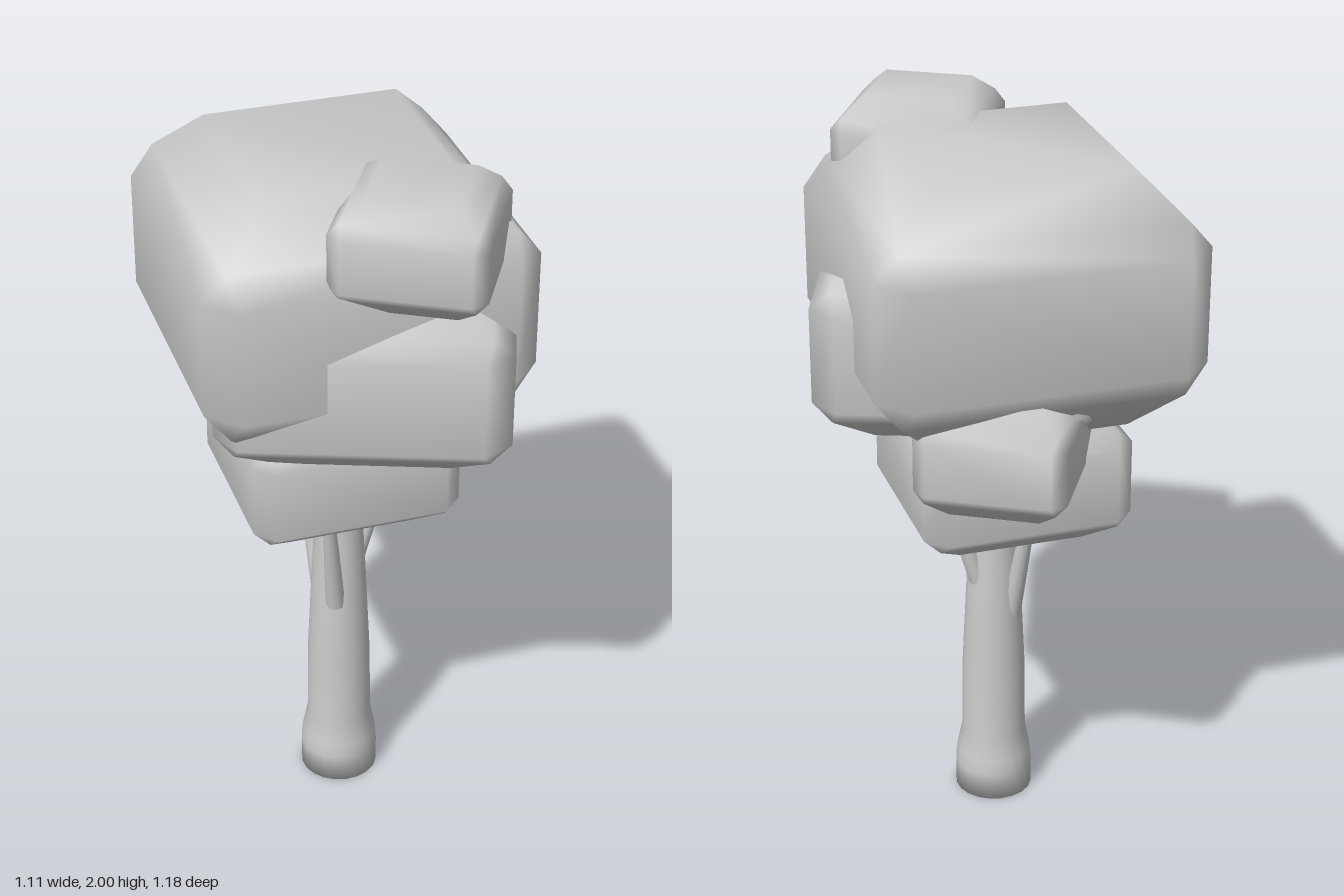
import * as THREE from 'three';
import { ConvexGeometry } from 'three/addons/geometries/ConvexGeometry.js';
import { mergeVertices } from 'three/addons/utils/BufferGeometryUtils.js';

const material = new THREE.MeshStandardMaterial({ color: 0xcccccc });

function addMesh(group, name, geometry) {
  const mesh = new THREE.Mesh(geometry, material);
  mesh.name = name;
  group.add(mesh);
  return mesh;
}

// Bevelled block with smooth normals: half width a, half height h,
// waist = fraction of the half height where the upright sides end
function foliageGeometry(a, h, waist) {
  const shoulder = waist + (1 - waist) * 0.385;
  const corners = [[0.595, 0.595, 1], [0.854, 0.854, shoulder], [1, 0.815, waist], [0.815, 1, waist]];
  const points = [];
  for (const [x, z, y] of corners)
    for (const sx of [-1, 1])
      for (const sy of [-1, 1])
        for (const sz of [-1, 1])
          points.push(new THREE.Vector3(x * a * sx, y * h * sy, z * a * sz));
  const hull = new ConvexGeometry(points);
  hull.deleteAttribute('normal');
  const geometry = mergeVertices(hull, 1e-4);
  geometry.computeVertexNormals();
  return geometry;
}

// Tapered limb between two points
function limbGeometry(from, to, r0, r1) {
  const a = new THREE.Vector3(...from), b = new THREE.Vector3(...to);
  const dir = b.clone().sub(a);
  const geometry = new THREE.CylinderGeometry(r1, r0, dir.length(), 12);
  geometry.applyQuaternion(new THREE.Quaternion().setFromUnitVectors(
    new THREE.Vector3(0, 1, 0), dir.clone().normalize()));
  const mid = a.add(b).multiplyScalar(0.5);
  return geometry.translate(mid.x, mid.y, mid.z);
}

export function createModel() {
  const tree = new THREE.Group();
  tree.name = 'tree';

  // Trunk with a flared foot
  const profile = [[0, 0], [0.108, 0], [0.108, 0.08], [0.104, 0.12], [0.09, 0.19], [0.088, 0.4],
    [0.076, 0.66], [0.066, 0.85], [0.062, 1.0]].map(([r, y]) => new THREE.Vector2(r, y));
  const trunk = addMesh(tree, 'trunk', new THREE.LatheGeometry(profile, 20));
  trunk.position.set(-0.02, 0, 0.012);

  // Thin branches reaching into the foliage
  const branches = [
    ['leftBranch', [0.03, 0.68, 0.02], [0.105, 0.94, 0.065]],
    ['rightBranch', [-0.07, 0.6, 0.045], [-0.14, 0.94, 0.085]],
    ['backBranch', [-0.03, 0.58, -0.045], [-0.015, 0.94, -0.13]],
  ];
  for (const [name, from, to] of branches)
    addMesh(tree, name, limbGeometry(from, to, 0.028, 0.017));

  // Foliage blocks: name, centre, half width, half height, waist, turn in degrees
  const blocks = [
    ['mainFoliage', [0, 1.5975, -0.035], 0.437, 0.3525, 0.447, -30.3],
    ['frontFoliage', [0, 1.45, 0.095], 0.377, 0.26, 0.5, 39.4],
    ['lowerFoliage', [0, 1.075, -0.035], 0.285, 0.195, 0.53, -30],
    ['topFoliage', [-0.08, 1.85, 0.335], 0.198, 0.15, 0.47, 30],
    ['backFoliage', [0.195, 1.235, -0.22], 0.2, 0.155, 0.47, 30],
  ];
  for (const [name, centre, a, h, waist, turn] of blocks) {
    const block = addMesh(tree, name, foliageGeometry(a, h, waist));
    block.position.set(...centre);
    block.rotation.y = THREE.MathUtils.degToRad(turn);
  }
  return tree;
}
